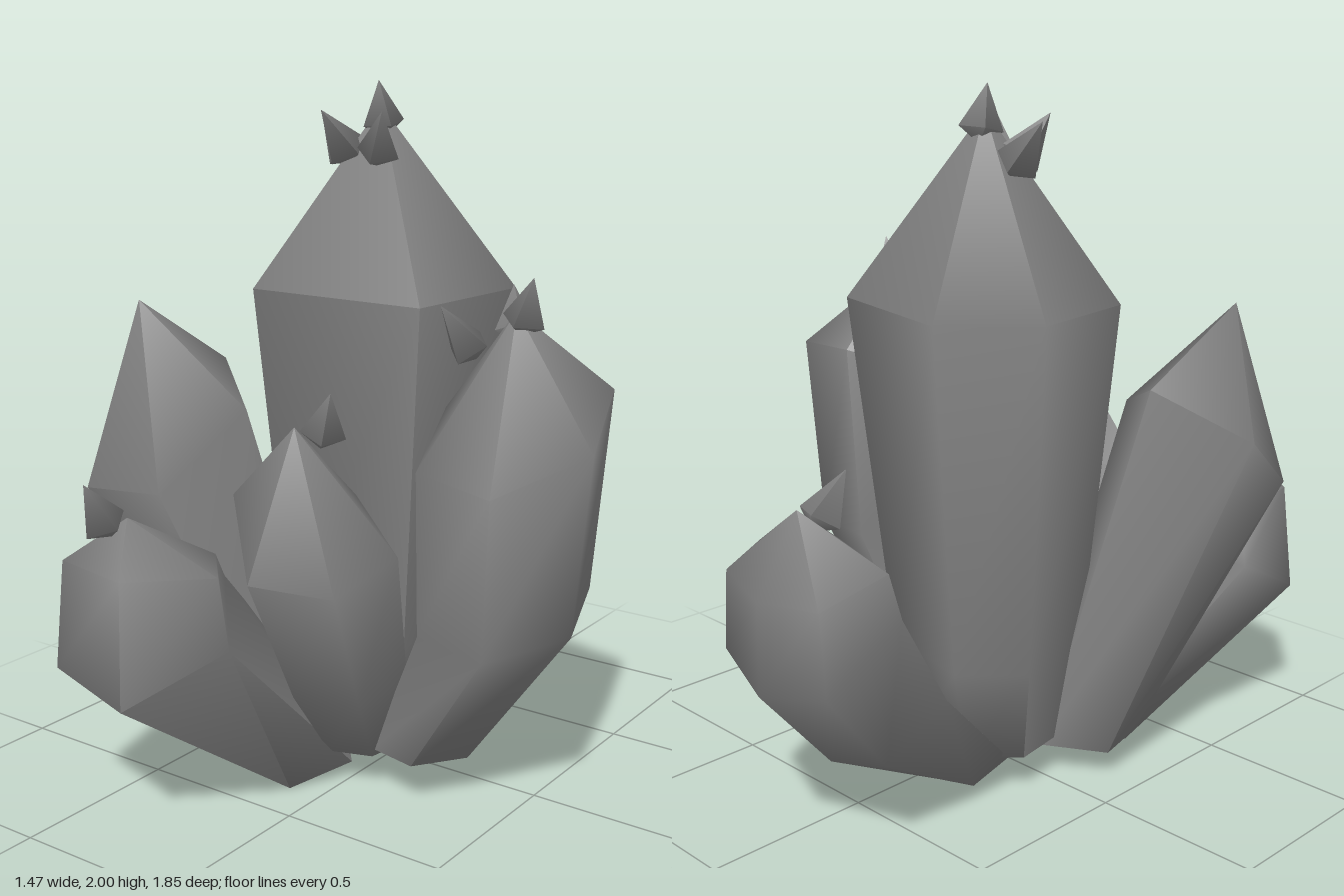
import * as THREE from 'three';
import { toCreasedNormals } from 'three/addons/utils/BufferGeometryUtils.js';

const material = new THREE.MeshStandardMaterial({ color: 0x808080 });

// Skin a stack of rings (corners clockwise from above); a ring may collapse to a point.
function skin(name, rings) {
  const pos = [];
  const tri = (...p) => {
    const area = p[1].clone().sub(p[0]).cross(p[2].clone().sub(p[0])).length();
    if (area > 1e-7) p.forEach(v => pos.push(v.x, v.y, v.z));
  };
  for (let k = 0; k + 1 < rings.length; k++) {
    const a = rings[k], b = rings[k + 1];
    a.forEach((_, i) => {
      const j = (i + 1) % a.length;
      tri(a[j], a[i], b[i]);
      tri(a[j], b[i], b[j]);
    });
  }
  const geo = new THREE.BufferGeometry();
  geo.setAttribute('position', new THREE.Float32BufferAttribute(pos, 3));
  const mesh = new THREE.Mesh(toCreasedNormals(geo, 1.4), material);
  mesh.name = name;
  return mesh;
}

// Corner offsets on an ellipse at falling angles (degrees), sloping in y along x and z.
function polygon(angles, rx, rz, slopeX = 0, slopeZ = 0) {
  return angles.map(deg => {
    const a = THREE.MathUtils.degToRad(deg);
    const x = rx * Math.cos(a), z = -rz * Math.sin(a);
    return new THREE.Vector3(x, slopeX * x + slopeZ * z, z);
  });
}

// Evenly spaced falling angles.
const even = (sides, phase) => Array.from({ length: sides }, (_, i) => phase - (i * 360) / sides);

// Crystal: one polygon repeated along a path of [x, y, z, scale, tilt], closed below, pointed above.
function crystal(name, shape, path, tip) {
  const ring = ([x, y, z, scale = 0, tilt = 1]) => shape.map(c =>
    new THREE.Vector3(x + c.x * scale, y + c.y * scale * tilt, z + c.z * scale));
  return skin(name, [ring(path[0].slice(0, 3)), ...path.map(ring), ring(tip)]);
}

// Small four-sided shard around [x, y, z], its tip leaning by leanX and leanZ.
function shard([x, y, z, leanX, leanZ], i) {
  const shape = polygon(even(4, 25 + i * 40), 0.062, 0.062);
  const mesh = skin('shard', [
    shape.map(() => new THREE.Vector3(0, -0.06, 0)),
    shape.map(c => c.setY(-0.02)),
    shape.map(() => new THREE.Vector3(0, Math.hypot(leanX, 0.1, leanZ), 0)),
  ]);
  const lean = new THREE.Vector3(leanX, 0.1, leanZ).normalize();
  mesh.quaternion.setFromUnitVectors(new THREE.Vector3(0, 1, 0), lean);
  mesh.position.set(x, y, z);
  return mesh;
}

export function createModel() {
  const group = new THREE.Group();
  group.name = 'crystalCluster';

  // Tall crystals
  group.add(
    crystal('mainCrystal', polygon([159, 114, 38, -42, -142], 0.39, 0.37),
      [[-0.1, 0.12, -0.06, 0.56], [-0.09, 0.4, -0.07, 0.72], [-0.08, 1.41, -0.08, 1]],
      [-0.1, 1.93, -0.09]),
    crystal('leftCrystal', polygon(even(6, 170), 0.262, 0.3, 0, -0.4),
      [[0.2, 0.13, 0.1, 0.6, 0], [0.45, 0.58, 0.1, 0.9, 0.5], [0.48, 1.1, 0.105, 1]],
      [0.47, 1.42, 0.1]),
    crystal('rightCrystal', polygon(even(5, 161), 0.24, 0.245, 0.1, -0.7),
      [[-0.25, 0.08, 0.17, 0.7, 0.1], [-0.51, 1.02, 0.385, 1]],
      [-0.56, 1.4, 0.44]),
  );

  // Short crystals
  group.add(
    crystal('frontCrystal', polygon([170, 86, 20, -40, -92], 0.28, 0.22, -0.2, -0.35),
      [[-0.02, 0.11, 0.16, 0.55, 0.1], [0.01, 0.38, 0.3, 0.8, 0.5], [0.01, 0.8, 0.435, 1]],
      [0, 1.11, 0.45]),
    crystal('lowFrontCrystal', polygon(even(5, 149), 0.265, 0.248, 0, -0.5),
      [[-0.17, 0.045, 0.22, 0.65, 0.6], [-0.325, 0.52, 0.685, 1], [-0.31, 0.74, 0.7, 0.88, -0.2]],
      [-0.3, 0.89, 0.78]),
    crystal('backCrystal', polygon([133, 88, 35, -20, -80, -145], 0.3, 0.165, -0.05, 0.75),
      [[-0.12, 0.08, -0.2, 0.55, 0.6], [-0.14, 0.36, -0.56, 0.85], [-0.14, 0.64, -0.76, 1],
        [-0.15, 0.82, -0.78, 0.9, 0.4]],
      [-0.2, 1.01, -0.84]),
  );

  // Shards near the tips
  const shards = [
    [-0.24, 1.81, -0.1, -0.08, 0], [-0.18, 1.82, -0.02, -0.02, 0.08],
    [-0.03, 1.82, 0.02, 0.04, 0.04], [-0.1, 1.9, -0.1, 0, 0.02],
    [0.49, 1.41, 0.09, 0.03, 0.01], [0.4, 1.36, -0.02, -0.04, -0.05],
    [0.4, 1.35, 0.24, -0.03, 0.07], [0.1, 1.12, 0.45, 0.03, 0.01],
    [-0.3, 0.91, 0.87, -0.01, 0.05], [-0.18, 0.98, -0.74, -0.02, 0.06],
  ];
  group.add(...shards.map(shard));
  return group;
}
